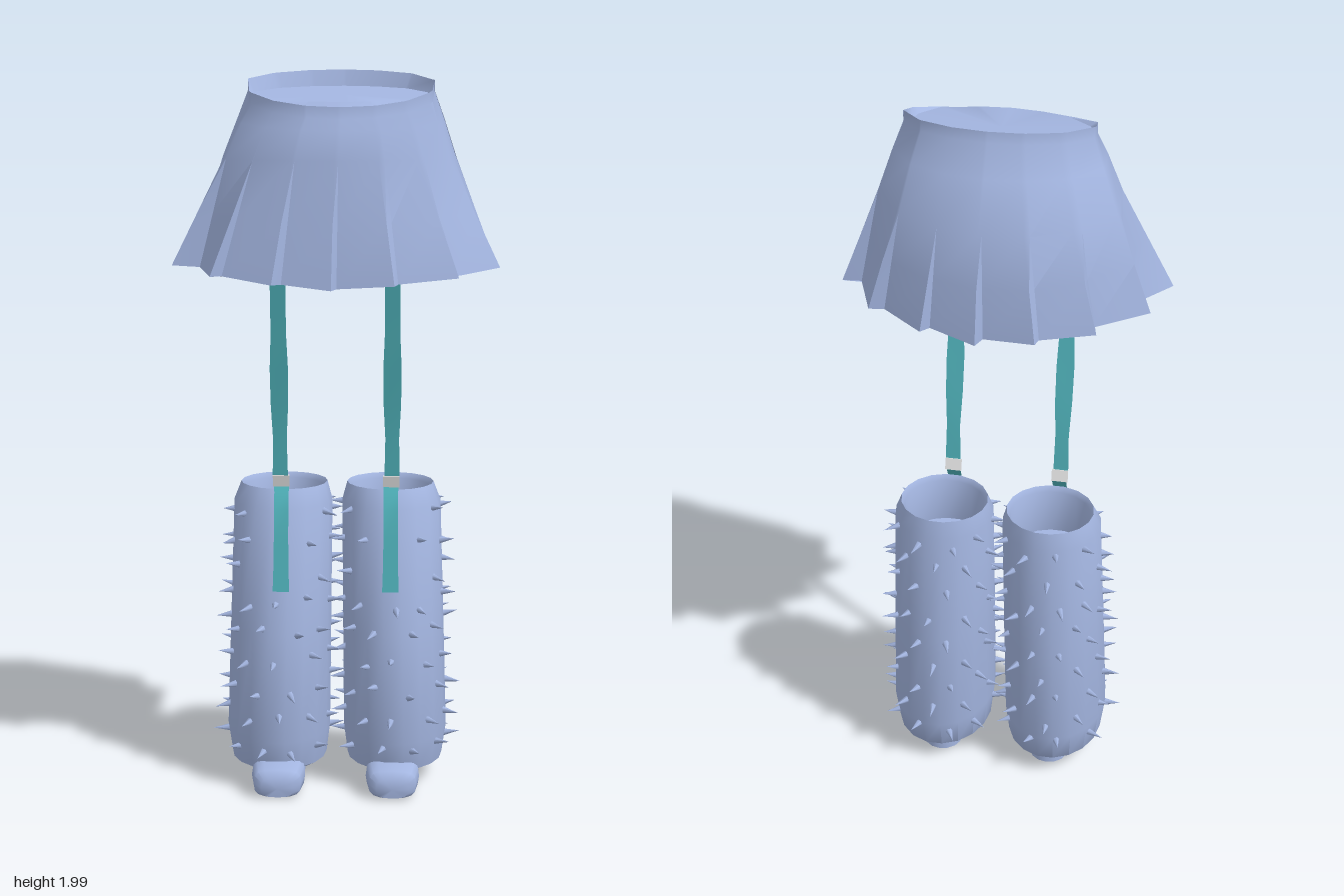
import * as THREE from 'three';
import { mergeGeometries, toCreasedNormals } from 'three/addons/utils/BufferGeometryUtils.js';

const V = (x, y, z) => new THREE.Vector3(x, y, z);
const lerp = THREE.MathUtils.lerp;

// Skin a stack of closed rings; every ring has the same number of points
function loft(rings, crease = 0.7) {
  const n = rings[0].length, index = [];
  for (let i = 0; i < rings.length - 1; i++) {
    for (let j = 0; j < n; j++) {
      const a = i * n + j, b = i * n + (j + 1) % n;
      index.push(a, a + n, b, b, a + n, b + n);
    }
  }
  const g = new THREE.BufferGeometry().setFromPoints(rings.flat());
  g.setIndex(index);
  return toCreasedNormals(g, crease);
}
const collapse = (ring, p) => ring.map(() => p.clone());

// Flat ribbon through [y, z, halfWidth] points at a given x
function ribbon(x, path) {
  const pts = [], index = [];
  path.forEach(([y, z, w], i) => {
    pts.push(V(x - w, y, z), V(x + w, y, z));
    const a = i * 2;
    if (i) index.push(a - 2, a, a - 1, a - 1, a, a + 1);
  });
  const g = new THREE.BufferGeometry().setFromPoints(pts);
  g.setIndex(index);
  g.computeVertexNormals();
  return g;
}

// Hem outline [x, z]: inner fold and outer tip of each pleat in turn
const HEM = [
  [.02, -.29], [.15, -.235], [.17, -.265], [.285, -.175], [.325, -.188], [.38, -.04],
  [.43, -.052], [.415, .08], [.443, .12], [.32, .21], [.33, .243], [.17, .262],
  [.16, .288], [.007, .26], [-.007, .288], [-.14, .257], [-.165, .281], [-.3, .21],
  [-.33, .233], [-.367, .102], [-.443, .102], [-.33, -.045], [-.405, -.07],
  [-.267, -.162], [-.283, -.205], [-.14, -.243], [-.133, -.27], [.007, -.247],
];

function skirtGeometry() {
  const angles = HEM.map(([x, z]) => Math.atan2(z / .27, x / .41));
  const oval = (cx, cz, rx, rz, y) => angles.map(a => {
    const z = cz + rz * Math.sin(a);
    return V(cx + rx * Math.cos(a), y(z), z);
  });
  const hem = HEM.map(([x, z]) => V(x, 1.455 + .035 * Math.min(1, Math.abs(x) / .42) - .055 * z, z));
  const hip = oval(.005, -.003, .325, .233, z => 1.77 + .02 * z);
  const low = hem.map((p, i) => p.clone().lerp(hip[i], .5));
  const chest = oval(.01, .02, .285, .2, z => 1.875 - .1 * z);
  const rimY = z => z > 0 ? 1.98 - .34 * z : 1.98 - .16 * z;
  const neck = oval(.012, .035, .257, .165, z => rimY(z) - .03);
  const rim = oval(.012, .035, .257, .16, rimY);
  const inside = oval(.012, .035, .24, .147, z => 1.945 - .1 * z);
  return loft([collapse(hem, V(0, 1.465, 0)), hem, low, hip, chest, neck, rim, inside,
    collapse(hem, V(.012, 1.94, .035))], .6);
}

// Leg cover sections: y, centre x, centre z, radius x, radius z
const LEG = [
  [.03, .163, -.07, .09, .11], [.065, .165, -.05, .135, .175], [.15, .166, -.045, .146, .2],
  [.45, .16, -.0625, .143, .178], [.8, .153, -.082, .139, .143], [.85, .15, -.092, .122, .12],
];
const INNER = [[.835, .15, -.092, .112, .11], [.7, .152, -.085, .112, .11]];

function legGeometry(s) {
  const ring = ([y, cx, cz, rx, rz]) => Array.from({ length: 18 }, (_, i) => {
    const a = i / 18 * Math.PI * 2;
    return V(s * cx + rx * Math.cos(a), y, cz + rz * Math.sin(a));
  });
  const rings = [...LEG, ...INNER].map(ring);
  return loft([collapse(rings[0], V(s * .163, .025, -.07)), ...rings,
    collapse(rings[0], V(s * .152, .7, -.085))], .75);
}

// Thorns in staggered rows over the cover
function thornGeometry(s) {
  let seed = s > 0 ? 7 : 19;
  const rnd = () => (seed = (seed * 16807) % 2147483647) / 2147483647 - .5;
  for (let i = 0; i < 5; i++) rnd();
  const cones = [];
  for (let row = 0; row < 9; row++) {
    for (let k = 0; k < 10; k++) {
      const a = (k + (row % 2) / 2 + rnd() * .3) / 10 * Math.PI * 2;
      const y = .13 + row * .081 + rnd() * .035;
      if (y > .54 && Math.sin(a) > .9) continue;
      let i = 0;
      while (i < LEG.length - 2 && LEG[i + 1][0] < y) i++;
      const t = (y - LEG[i][0]) / (LEG[i + 1][0] - LEG[i][0]);
      const [, cx, cz, rx, rz] = LEG[i].map((v, c) => lerp(v, LEG[i + 1][c], t));
      const dir = V(Math.cos(a) / rx, rnd() * 3, Math.sin(a) / rz).normalize();
      const h = .045 + rnd() * .015;
      const cone = new THREE.ConeGeometry(.011, h, 6);
      cone.translate(0, h / 2 - .007, 0);
      cone.applyQuaternion(new THREE.Quaternion().setFromUnitVectors(V(0, 1, 0), dir));
      cone.translate(s * cx + rx * Math.cos(a), y, cz + rz * Math.sin(a));
      cones.push(cone);
    }
  }
  return mergeGeometries(cones);
}

// Shoe sections from toe to heel: z, half width, base y, height
const SHOE = [
  [.2, .045, .01, .055], [.185, .066, .006, .078], [.12, .075, .005, .088], [.04, .072, .005, .092],
  [-.02, .06, .02, .075], [-.08, .052, .03, .06], [-.16, .052, .03, .05], [-.18, .035, .035, .04],
];
function shoeGeometry(s) {
  const soft = v => Math.sign(v) * Math.abs(v) ** .65;
  const rings = SHOE.map(([z, w, y, h]) => Array.from({ length: 16 }, (_, i) => {
    const a = i / 16 * Math.PI * 2;
    return V(s * .16 + w * soft(Math.cos(a)), y + h * (.5 + .5 * soft(Math.sin(a))), z);
  }));
  return loft([collapse(rings[0], V(s * .16, .035, .202)), ...rings,
    collapse(rings[0], V(s * .16, .055, -.182))], .9);
}

export function createModel() {
  const model = new THREE.Group();
  const mat = (name, color) => {
    const m = new THREE.MeshStandardMaterial({ color, side: THREE.DoubleSide });
    m.name = name;
    return m;
  };
  const blue = mat('periwinkle cloth', 0xa3b5e0);
  const teal = mat('teal strap', 0x50b2ba);
  const white = mat('white buckle', 0xffffff);
  const add = (parent, name, geometry, material) => {
    const mesh = new THREE.Mesh(geometry, material);
    mesh.name = name;
    parent.add(mesh);
    return mesh;
  };

  add(model, 'pleatedSkirt', skirtGeometry(), blue);

  for (const s of [-1, 1]) {
    const leg = new THREE.Group();
    leg.name = s > 0 ? 'leftLeg' : 'rightLeg';
    model.add(leg);
    add(leg, 'legWarmer', legGeometry(s), blue);
    add(leg, 'thorns', thornGeometry(s), blue);
    add(leg, 'shoe', shoeGeometry(s), blue);
    const heel = add(leg, 'heel', new THREE.CylinderGeometry(.055, .055, .04, 14), blue);
    heel.position.set(s * .16, .025, -.12);

    // Upper strap hangs from the skirt, lower strap lies on the cover
    add(leg, 'upperStrap', ribbon(s * .155, [
      [1.5, .155, .021], [1.4, .134, .021], [1.3, .114, .021], [1.2, .095, .025],
      [1.1, .074, .024], [1.0, .057, .019], [.9, .046, .021], [.89, .044, .021]]), teal);
    add(leg, 'lowerStrap', ribbon(s * .152, [
      [.862, .036, .021], [.845, .045, .02], [.8, .068, .02], [.72, .081, .02],
      [.64, .093, .021], [.575, .103, .023]]), teal);
    const buckle = add(leg, 'buckle', new THREE.BoxGeometry(.046, .034, .006), white);
    buckle.position.set(s * .153, .877, .04);
    buckle.rotation.x = .25;
  }
  return model;
}
